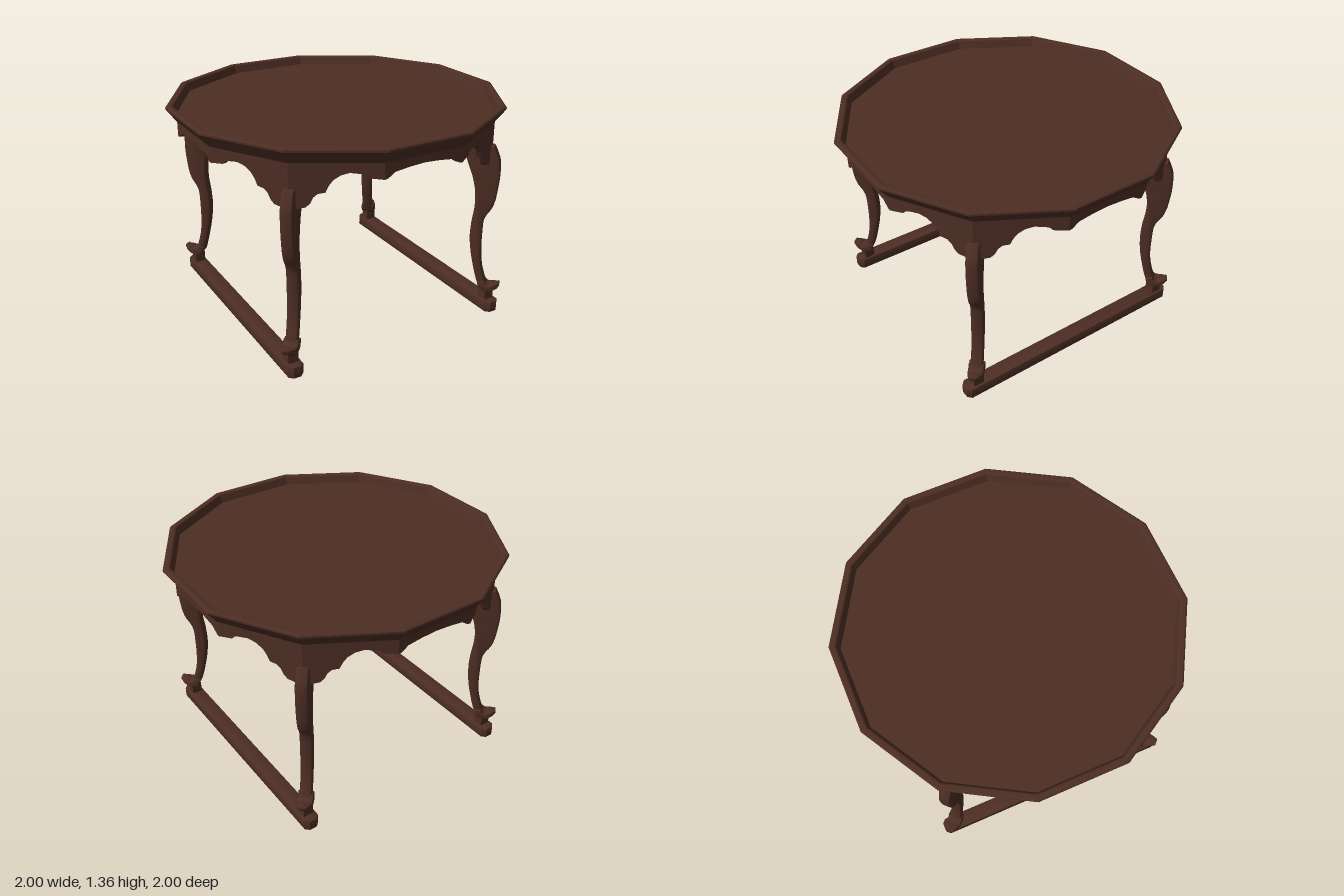
import * as THREE from 'three';
import { toCreasedNormals } from 'three/addons/utils/BufferGeometryUtils.js';

const wood = new THREE.MeshStandardMaterial({ color: 0x4d2e24 });
wood.name = 'dark wood';

function add(parent, name, geometry) {
  const mesh = new THREE.Mesh(geometry, wood);
  mesh.name = name;
  parent.add(mesh);
  return mesh;
}

const vectors = (points) => points.map(([x, y]) => new THREE.Vector2(x, y));

// Twelve-sided top: undercut edge, raised rim and deep sunken panel (profile = distance to flat side, height)
function topGeometry() {
  const profile = [[0, 1.258], [0.942, 1.258], [0.993, 1.327], [1, 1.336], [1, 1.348], [0.992, 1.355],
    [0.968, 1.355], [0.96, 1.35], [0.943, 1.302], [0, 1.302]];
  const k = 1 / Math.cos(Math.PI / 12);
  const lathe = new THREE.LatheGeometry(vectors(profile.map(([r, y]) => [r * k, y])), 12, Math.PI / 12);
  const flat = lathe.toNonIndexed();
  flat.computeVertexNormals();
  return flat;
}

// Scalloped apron: one eighth of its lower edge, mirrored and turned around the table
function apronGeometry() {
  const edge = [[0, 1.213], [0.1, 1.207], [0.19, 1.196], [0.205, 1.185], [0.232, 1.168], [0.252, 1.164],
    [0.325, 1.173], [0.34, 1.19], [0.36, 1.197], [0.41, 1.203], [0.45, 1.19], [0.485, 1.162], [0.505, 1.13],
    [0.52, 1.092], [0.555, 1.085], [0.575, 1.065], [0.59, 1.03], [0.61, 1.008], [0.65, 1.0], [0.688, 0.995]];
  const eighth = edge.map(([x, y]) => [x, y, x <= 0.252 ? 0.94 : 0.94 - (x - 0.252) * Math.tan(Math.PI / 6)]);
  const quarter = [...eighth, ...eighth.slice(1, -1).reverse().map(([x, y, z]) => [z, y, x])];
  const ring = [];
  let part = quarter;
  for (let i = 0; i < 4; i++) {
    ring.push(...part);
    part = part.map(([x, y, z]) => [z, y, -x]);
  }
  const pos = [];
  const quad = (a, b, c, d) => pos.push(...a, ...b, ...c, ...a, ...c, ...d);
  const inner = 0.967, top = 1.26;
  const section = ([x, y, z]) => [[x, y, z], [x, top, z], [x * inner, top, z * inner], [x * inner, y, z * inner]];
  ring.forEach((p, i) => {
    const a = section(p), b = section(ring[(i + 1) % ring.length]);
    for (let j = 0; j < 4; j++) {
      const n = (j + 1) % 4;
      quad(a[j], b[j], b[n], a[n]);
    }
  });
  const g = new THREE.BufferGeometry();
  g.setAttribute('position', new THREE.Float32BufferAttribute(pos, 3));
  g.computeVertexNormals();
  return g;
}

// Board with rounded edges cut from an outline, centred on z = 0
function boardGeometry(shape, width, bevel) {
  const g = new THREE.ExtrudeGeometry(shape, {
    depth: width - 2 * bevel, curveSegments: 18, bevelEnabled: true,
    bevelSize: bevel, bevelThickness: bevel, bevelOffset: -bevel, bevelSegments: 2,
  });
  return g.translate(0, 0, bevel - width / 2);
}

// S-curved leg with a square top behind the apron (x = distance from the table axis)
function legGeometry() {
  const s = new THREE.Shape();
  s.moveTo(0.775, 1.258);
  s.lineTo(0.83, 1.0);
  s.splineThru(vectors([[0.868, 0.9], [0.89, 0.8], [0.892, 0.7], [0.88, 0.6], [0.876, 0.5],
    [0.887, 0.4], [0.908, 0.3], [0.935, 0.2], [0.965, 0.135]]));
  s.lineTo(1.005, 0.14);
  s.splineThru(vectors([[0.99, 0.2], [0.963, 0.3], [0.952, 0.4], [0.95, 0.5], [0.953, 0.6], [0.968, 0.65],
    [0.998, 0.7], [1.014, 0.75], [1.022, 0.8], [1.031, 0.9], [1.028, 1.0], [1.01, 1.06], [0.987, 1.11]]));
  s.lineTo(0.95, 1.115);
  s.lineTo(0.95, 1.258);
  s.closePath();
  return toCreasedNormals(boardGeometry(s, 0.074, 0.018), 0.7);
}

// Upturned toe, narrowing towards a rounded tip
function footGeometry() {
  const s = new THREE.Shape();
  s.moveTo(0.942, 0.19);
  s.splineThru(vectors([[0.955, 0.15], [0.98, 0.13], [1.03, 0.13], [1.065, 0.145], [1.08, 0.165], [1.085, 0.184]]));
  s.splineThru(vectors([[1.05, 0.18], [1.02, 0.172], [1.0, 0.18], [0.988, 0.2]]));
  s.closePath();
  const g = boardGeometry(s, 0.096, 0.012);
  const p = g.attributes.position;
  for (let i = 0; i < p.count; i++) {
    const t = Math.max(0, (p.getX(i) - 1.0) / 0.085);
    p.setZ(i, p.getZ(i) * (1 - 0.55 * t * t));
  }
  return toCreasedNormals(g, 0.7);
}

// Floor rail with clipped corners
function railGeometry() {
  const w = 0.048, l = 0.79, c = 0.024;
  const s = new THREE.Shape(vectors([[w, c - l], [w, l - c], [w - c, l], [c - w, l],
    [-w, l - c], [-w, c - l], [c - w, -l], [w - c, -l]]));
  return toCreasedNormals(boardGeometry(s, 0.072, 0.005).rotateX(Math.PI / 2), 0.7);
}

export function createModel() {
  const table = new THREE.Group();
  table.name = 'table';
  add(table, 'tableTop', topGeometry());
  add(table, 'apron', apronGeometry());

  // Four legs on the diagonals
  const leg = legGeometry(), foot = footGeometry();
  for (let i = 0; i < 4; i++) {
    const group = new THREE.Group();
    group.name = 'legAssembly';
    group.rotation.y = Math.PI / 4 + i * Math.PI / 2;
    add(group, 'leg', leg);
    add(group, 'foot', foot);
    table.add(group);
  }

  // Floor rails with a small block under each foot
  const rail = railGeometry();
  for (const sx of [-1, 1]) {
    add(table, 'floorRail', rail).position.set(sx * 0.707, 0.036, 0);
    for (const sz of [-1, 1]) {
      add(table, 'footBlock', new THREE.BoxGeometry(0.066, 0.075, 0.066)).position.set(sx * 0.707, 0.103, sz * 0.707);
    }
  }
  return table;
}
